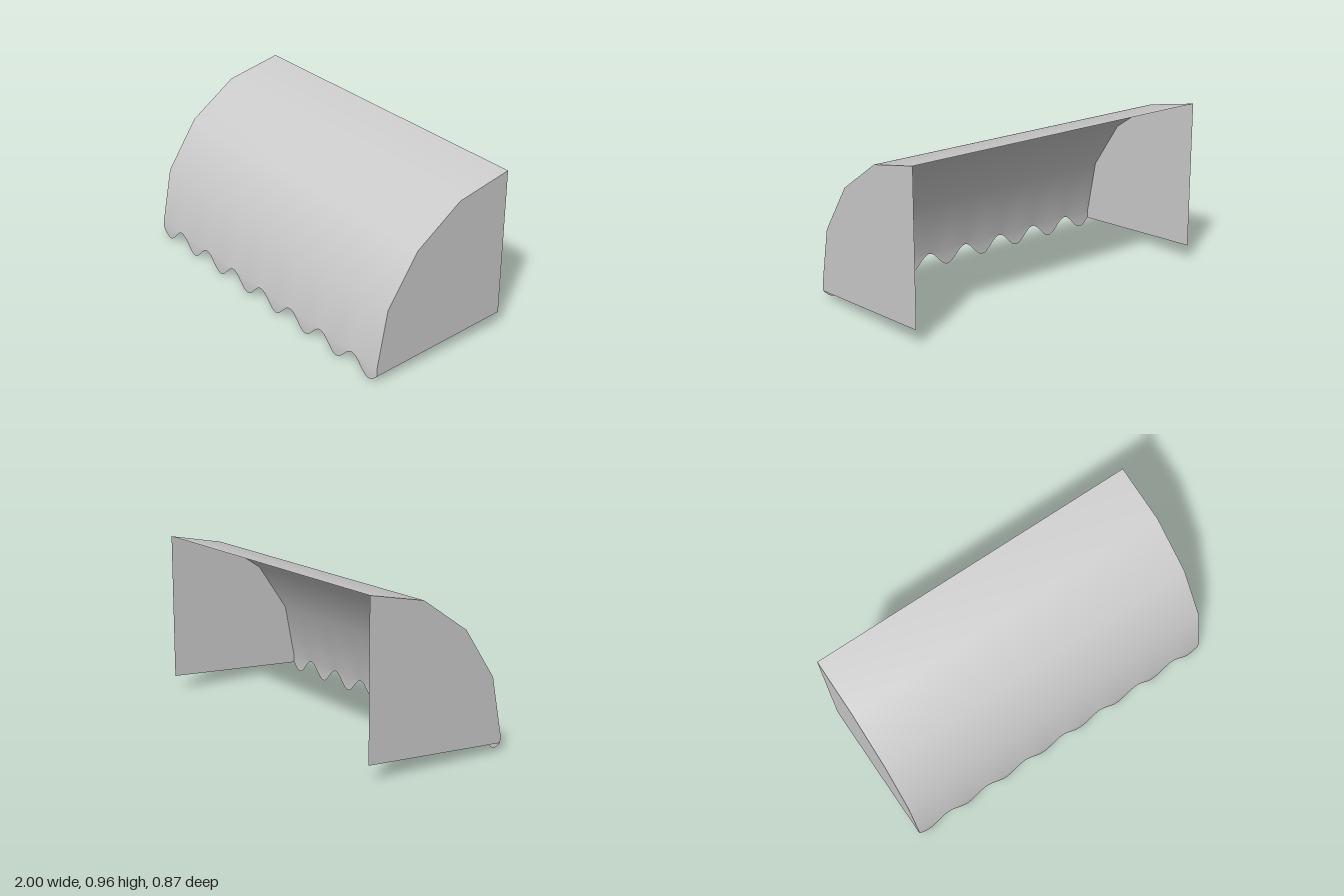
import * as THREE from 'three';

// Canopy cross-section as [z, y], from the wall down to the front edge
const PROFILE = [[-0.435, 0.957], [-0.10, 0.89], [0.18, 0.70], [0.37, 0.42], [0.435, 0.0905]];
const FRONT_Z = 0.435;
const BACK_BOTTOM = 0.09;
const WAVES = 7.5;

// Height of the scalloped hem at x
const hem = (x) => 0.045 + 0.045 * Math.cos(Math.PI * WAVES * x);

export function createModel() {
  const group = new THREE.Group();
  group.name = 'awning';
  const material = new THREE.MeshStandardMaterial({ color: 0xcccccc, side: THREE.DoubleSide });

  // Curved canopy: a plane bent along the profile, its last row following the hem
  const columns = 120;
  const canopyGeometry = new THREE.PlaneGeometry(2, 1, columns, PROFILE.length);
  const pos = canopyGeometry.attributes.position;
  for (let i = 0; i < pos.count; i++) {
    const row = Math.floor(i / (columns + 1));
    const x = pos.getX(i);
    const [z, y] = row < PROFILE.length ? PROFILE[row] : [FRONT_Z, hem(x)];
    pos.setXYZ(i, x, y, z);
  }
  canopyGeometry.computeVertexNormals();
  const canopy = new THREE.Mesh(canopyGeometry, material);
  canopy.name = 'canopy';
  group.add(canopy);

  // Flat end panels, left (+x) and right (-x)
  for (const side of [1, -1]) {
    const outline = [...PROFILE, [FRONT_Z, hem(1)], [PROFILE[0][0], BACK_BOTTOM]];
    const shape = new THREE.Shape(outline.map(([z, y]) => new THREE.Vector2(-side * z, y)));
    const panel = new THREE.Mesh(new THREE.ShapeGeometry(shape), material);
    panel.name = side > 0 ? 'leftEndPanel' : 'rightEndPanel';
    panel.rotation.y = side * Math.PI / 2;
    panel.position.x = side;
    group.add(panel);
  }

  return group;
}
